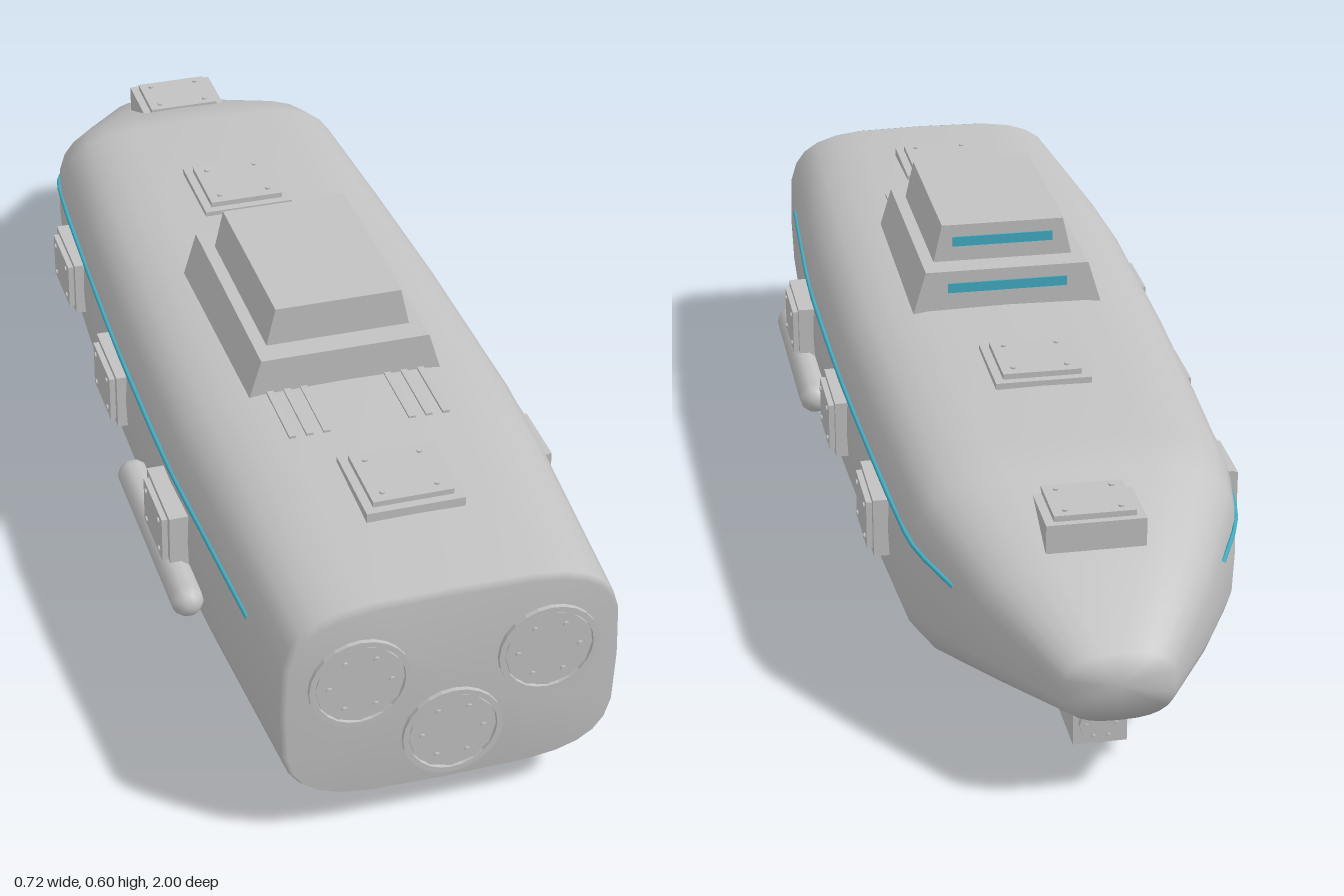
import * as THREE from 'three';

const hullGrey = new THREE.MeshStandardMaterial({ color: 0xc2c2c2 });
hullGrey.name = 'hullGrey';
const tealGlow = new THREE.MeshStandardMaterial({ color: 0x43aec4 });
tealGlow.name = 'tealGlow';

// Hull stations from front to back: z, half width, bottom, top, squareness
const STATIONS = [
  [0.99, 0.278, 0.07, 0.442, 4], [0.975, 0.285, 0.064, 0.447, 4], [0.6, 0.307, 0.05, 0.464, 4],
  [0.4, 0.315, 0.047, 0.465, 4], [0, 0.311, 0.05, 0.458, 4], [-0.3, 0.3, 0.055, 0.453, 4],
  [-0.58, 0.285, 0.064, 0.45, 4], [-0.66, 0.272, 0.077, 0.432, 3.7], [-0.83, 0.192, 0.116, 0.353, 3.1],
  [-1, 0.092, 0.155, 0.275, 2.7],
];
const SIDES = 28;

function station(z) {
  let i = 0;
  while (i < STATIONS.length - 2 && STATIONS[i + 1][0] > z) i++;
  const a = STATIONS[i], b = STATIONS[i + 1];
  const t = (z - a[0]) / (b[0] - a[0]);
  return a.map((v, k) => v + (b[k] - v) * t);
}

// Half width of the hull at a given height and station
function hullX(y, z) {
  const [, w, lo, hi, n] = station(z);
  const v = Math.min(1, Math.abs((y - (lo + hi) / 2) / ((hi - lo) / 2)));
  return w * Math.pow(1 - Math.pow(v, n), 1 / n);
}

// Lofted hull with smoothly shaded end caps
function hullGeometry() {
  const pos = [], idx = [];
  for (const [z, w, lo, hi, n] of STATIONS) {
    for (let j = 0; j < SIDES; j++) {
      const a = (j / SIDES) * Math.PI * 2, c = Math.cos(a), s = Math.sin(a);
      pos.push(w * Math.sign(c) * Math.pow(Math.abs(c), 2 / n),
        (lo + hi) / 2 + ((hi - lo) / 2) * Math.sign(s) * Math.pow(Math.abs(s), 2 / n), z);
    }
  }
  const last = (STATIONS.length - 1) * SIDES, front = last + SIDES, back = front + 1;
  pos.push(0, 0.256, 0.99, 0, 0.215, -1);
  for (let j = 0; j < SIDES; j++) {
    const k = (j + 1) % SIDES;
    for (let r = 0; r < last; r += SIDES) {
      idx.push(r + j, r + j + SIDES, r + k, r + k, r + j + SIDES, r + k + SIDES);
    }
    idx.push(front, j, k, back, last + k, last + j);
  }
  const g = new THREE.BufferGeometry();
  g.setAttribute('position', new THREE.Float32BufferAttribute(pos, 3));
  g.setIndex(idx);
  g.computeVertexNormals();
  return g;
}

function add(parent, name, geometry, x = 0, y = 0, z = 0, material = hullGrey) {
  const m = new THREE.Mesh(geometry, material);
  m.name = name;
  m.position.set(x, y, z);
  parent.add(m);
  return m;
}

const box = (w, h, d) => new THREE.BoxGeometry(w, h, d);

// Faceted disc whose axis runs along z
function disc(r, depth, sides = 12) {
  const g = new THREE.CylinderGeometry(r, r, depth, sides);
  g.rotateX(Math.PI / 2);
  return g;
}

// Prism along z with a trapezoid section
function prism(bottom, top, y0, y1, z0, z1) {
  const s = new THREE.Shape();
  s.moveTo(-bottom, y0);
  s.lineTo(bottom, y0);
  s.lineTo(top, y1);
  s.lineTo(-top, y1);
  const g = new THREE.ExtrudeGeometry(s, { depth: z1 - z0, bevelEnabled: false });
  g.translate(0, 0, z0);
  return g;
}

// Hatch standing on its local xz plane: base, raised lid and corner bolts
function hatch(parent, name, w, d, base) {
  const g = new THREE.Group();
  g.name = name;
  add(g, 'hatchBase', box(w, base, d), 0, base / 2);
  add(g, 'hatchLid', box(w * 0.82, 0.01, d * 0.82), 0, base + 0.005);
  for (const sx of [-1, 1]) for (const sz of [-1, 1]) {
    add(g, 'hatchBolt', new THREE.CylinderGeometry(0.005, 0.005, 0.004, 6),
      sx * w * 0.28, base + 0.011, sz * d * 0.28);
  }
  parent.add(g);
  return g;
}

// Engine: outer rim, inner plate and a circle of bolts
function engine(parent, x, y) {
  const g = new THREE.Group();
  g.name = 'engine';
  g.position.set(x, y, 0.985);
  const ring = new THREE.Shape().absarc(0, 0, 0.085, 0, Math.PI * 2);
  ring.holes.push(new THREE.Path().absarc(0, 0, 0.075, 0, Math.PI * 2, true));
  add(g, 'engineRim', new THREE.ExtrudeGeometry(ring, { depth: 0.013, bevelEnabled: false, curveSegments: 12 }));
  add(g, 'enginePlate', disc(0.074, 0.02));
  for (let i = 0; i < 6; i++) {
    const a = (i / 6) * Math.PI * 2;
    add(g, 'engineBolt', disc(0.005, 0.005, 8), 0.052 * Math.cos(a), 0.052 * Math.sin(a), 0.0115);
  }
  parent.add(g);
}

export function createModel() {
  const model = new THREE.Group();
  model.name = 'submarineHullCraft';
  add(model, 'hull', hullGeometry());

  engine(model, -0.158, 0.303);
  engine(model, 0.158, 0.303);
  engine(model, 0, 0.17);

  // Two-tier tower with lit strips on its rear faces
  add(model, 'towerLower', prism(0.174, 0.15, 0.45, 0.53, -0.03, 0.402));
  add(model, 'towerUpper', prism(0.128, 0.112, 0.53, 0.6, 0.02, 0.357));
  add(model, 'lowerWindow', box(0.22, 0.018, 0.004), 0, 0.498, -0.031, tealGlow);
  add(model, 'upperWindow', box(0.185, 0.018, 0.004), 0, 0.568, 0.019, tealGlow);

  // Low deck slats ahead of the tower
  for (const s of [-1, 1]) {
    for (const x of [0.075, 0.105, 0.135]) {
      add(model, 'deckSlat', box(0.012, 0.014, 0.15), s * x, 0.46, 0.465);
    }
  }

  // Deck hatches
  hatch(model, 'frontDeckHatch', 0.168, 0.165, 0.03).position.set(0, 0.441, 0.705);
  hatch(model, 'midDeckHatch', 0.168, 0.17, 0.025).position.set(0, 0.437, -0.293);
  hatch(model, 'rearDeckHatch', 0.165, 0.135, 0.05).position.set(0, 0.361, -0.748);

  // Side hatches, pods and light strips, mirrored
  for (const s of [-1, 1]) {
    for (const [z, out] of [[0.428, 0.342], [-0.01, 0.328], [-0.405, 0.315]]) {
      const h = hatch(model, 'sideHatch', 0.106, 0.155, 0.06);
      h.rotation.z = -s * Math.PI / 2;
      h.position.set(s * (out - 0.06), 0.258, z);
    }
    const pod = new THREE.CapsuleGeometry(0.029, 0.372, 4, 10);
    pod.rotateX(Math.PI / 2);
    add(model, 'sidePod', pod, s * 0.332, 0.192, 0.39);

    const path = [[0.82, 0.331], [0.6, 0.338], [0.4, 0.337], [0, 0.331], [-0.3, 0.327], [-0.55, 0.322],
      [-0.66, 0.31], [-0.76, 0.286]].map(([z, y]) => new THREE.Vector3(s * (hullX(y, z) + 0.0005), y, z));
    add(model, 'lightStrip', new THREE.TubeGeometry(new THREE.CatmullRomCurve3(path), 40, 0.004, 6), 0, 0, 0, tealGlow);
  }

  // Keel fin and belly hatches
  add(model, 'keel', prism(0.007, 0.013, 0, 0.075, -0.6, 0.78));
  for (const z of [0.39, -0.4]) {
    const h = hatch(model, 'bellyHatch', 0.104, 0.1, 0.03);
    h.rotation.z = Math.PI;
    h.position.set(0, 0.067, z);
  }

  // Rear thruster block under the tail
  add(model, 'tailThrusterBlock', box(0.09, 0.11, 0.115), 0, 0.085, -0.803);
  add(model, 'tailThrusterDisc', disc(0.036, 0.012), 0, 0.07, -0.864);
  for (let i = 0; i < 6; i++) {
    const a = (i / 6) * Math.PI * 2;
    add(model, 'tailThrusterBolt', disc(0.004, 0.005, 6), 0.025 * Math.cos(a), 0.07 + 0.025 * Math.sin(a), -0.871);
  }
  return model;
}
